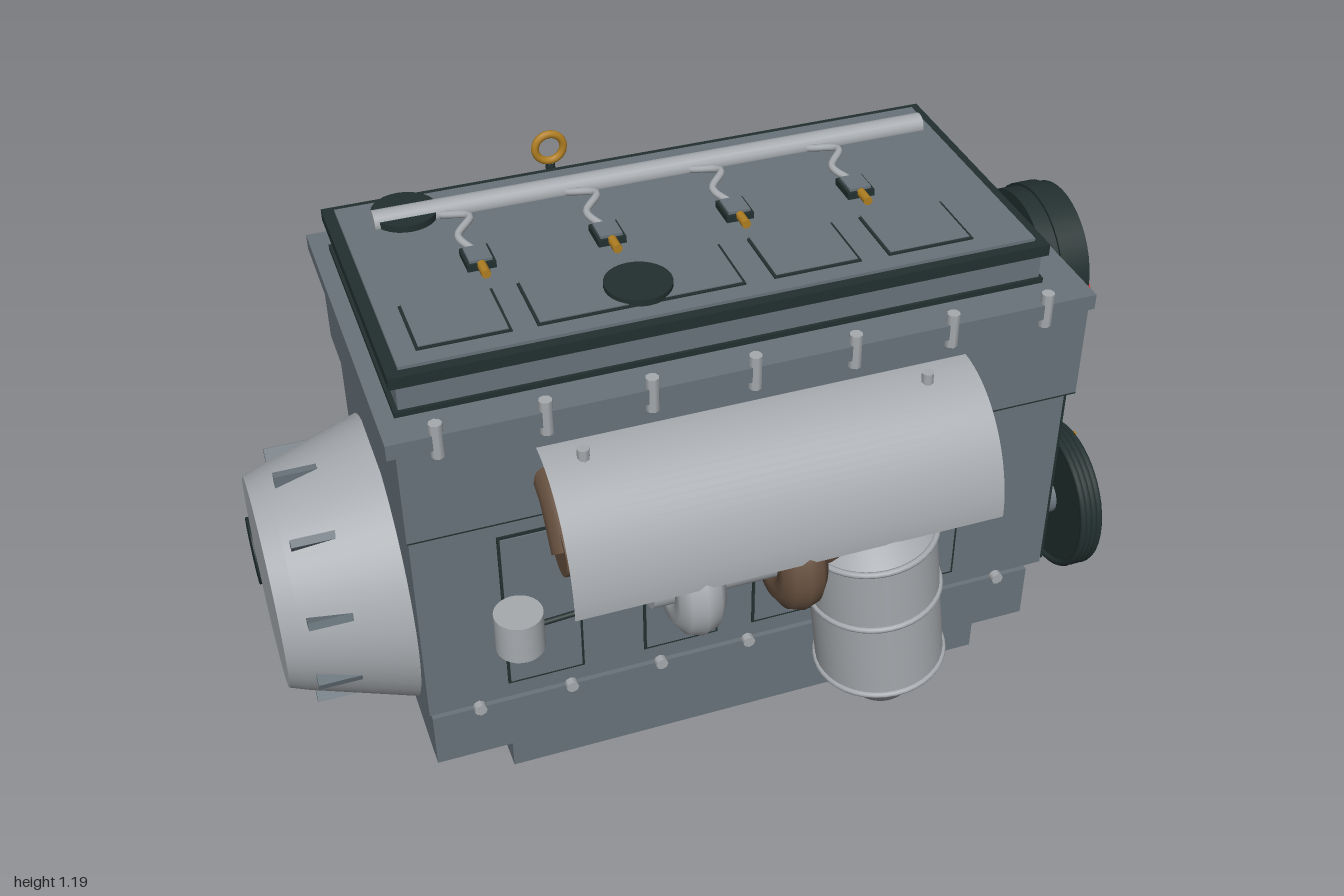
import * as THREE from 'three';

const mat = (name, color, side = THREE.FrontSide) => {
  const m = new THREE.MeshStandardMaterial({ color, side });
  m.name = name;
  return m;
};

export function createModel() {
  const grey = mat('blockGrey', 0x68737a);
  const light = mat('lightMetal', 0xa6aaae, THREE.DoubleSide);
  const dark = mat('darkGreen', 0x22302f);
  const brown = mat('exhaustBrown', 0x66503f);
  const brass = mat('brass', 0xb07f22);
  const red = mat('red', 0xc42424);
  const root = new THREE.Group();
  root.name = 'engine';

  const add = (name, geo, m, x = 0, y = 0, z = 0) => {
    const mesh = new THREE.Mesh(geo, m);
    mesh.name = name;
    mesh.position.set(x, y, z);
    root.add(mesh);
    return mesh;
  };
  // box given by its limits on each axis
  const box = (name, m, x0, x1, y0, y1, z0, z1) =>
    add(name, new THREE.BoxGeometry(x1 - x0, y1 - y0, z1 - z0), m, (x0 + x1) / 2, (y0 + y1) / 2, (z0 + z1) / 2);
  // cylinders along x, y and z; the second radius is at the low end
  const cylX = (name, m, x0, x1, y, z, r, r0 = r, n = 40) =>
    add(name, new THREE.CylinderGeometry(r, r0, x1 - x0, n).rotateZ(-Math.PI / 2), m, (x0 + x1) / 2, y, z);
  const cylY = (name, m, x, y0, y1, z, r, r0 = r, n = 28) =>
    add(name, new THREE.CylinderGeometry(r, r0, y1 - y0, n), m, x, (y0 + y1) / 2, z);
  const cylZ = (name, m, x, y, z0, z1, r, n = 28) =>
    add(name, new THREE.CylinderGeometry(r, r, z1 - z0, n).rotateX(Math.PI / 2), m, x, y, (z0 + z1) / 2);
  const tube = (name, m, pts, r, seg = 32) =>
    add(name, new THREE.TubeGeometry(new THREE.CatmullRomCurve3(pts.map(p => new THREE.Vector3(...p))), seg, r, 16), m);
  const ringX = (name, m, x, y, z, r, t) =>
    add(name, new THREE.TorusGeometry(r, t, 10, 40).rotateY(Math.PI / 2), m, x, y, z);

  // Block, crankcase and head
  box('block', grey, -0.73, 0.73, 0.29, 0.8, -0.36, 0.29);
  box('sidePanelEdge', dark, -0.72, 0.725, 0.305, 0.775, 0.28, 0.352);
  box('sidePanel', grey, -0.735, 0.715, 0.3, 0.785, 0.28, 0.358);
  box('crankcase', grey, -0.73, 0.68, 0.155, 0.29, -0.36, 0.36);
  box('head', grey, -0.74, 0.735, 0.795, 1.03, -0.39, 0.37);
  box('headSeam', dark, -0.738, 0.738, 0.787, 0.797, -0.385, 0.365);
  box('headFlange', grey, -0.76, 0.74, 1.02, 1.055, -0.405, 0.385);
  for (let i = 0; i < 7; i++) {
    const x = -0.66 + i * 0.215;
    for (const z of [-0.395, 0.375]) cylY('flangeBolt', light, x, 1.0, 1.078, z, 0.014, 0.014, 8);
    cylZ('crankcaseBolt', light, x * 0.95, 0.295, 0.34, 0.375, 0.014, 8);
  }
  // Recessed side panels of the block
  for (const x of [-0.475, -0.17, 0.08, 0.4]) {
    box('panelOutline', dark, x - 0.085, x + 0.085, 0.34, 0.75, 0.355, 0.361);
    box('panelFace', grey, x - 0.079, x + 0.079, 0.347, 0.743, 0.355, 0.364);
  }

  // Oil pan with lengthwise ribs below
  box('oilPan', grey, -0.55, 0.59, 0.02, 0.155, -0.305, 0.3);
  box('oilPanLip', grey, -0.56, 0.6, 0.13, 0.155, -0.315, 0.31);
  box('oilPanFloor', grey, -0.53, 0.57, 0.012, 0.025, -0.29, 0.285);
  for (let i = 0; i < 9; i++) box('panRib', grey, -0.52, 0.56, 0, 0.014, -0.26 + i * 0.0625, -0.245 + i * 0.0625);
  box('drainHousing', grey, -0.4, -0.3, 0.02, 0.08, -0.35, -0.3);
  box('drainCap', dark, -0.385, -0.315, 0.03, 0.07, -0.358, -0.35);

  // Bell housing
  cylX('bellHousing', light, -0.96, -0.735, 0.46, 0, 0.32, 0.25, 48);
  cylX('bellRim', light, -1, -0.96, 0.46, 0, 0.25, 0.235, 48);
  for (let i = 0; i < 10; i++) {
    const a = (i / 10) * Math.PI * 2;
    const rib = add('bellRib', new THREE.BoxGeometry(0.11, 0.03, 0.018), grey, -0.89, 0.46 + 0.268 * Math.cos(a), 0.268 * Math.sin(a));
    rib.rotation.x = a;
  }

  // Starter motor and solenoid
  cylX('starterMotor', dark, -1, -0.74, 0.25, -0.36, 0.082);
  cylX('solenoid', light, -0.955, -0.72, 0.36, -0.355, 0.054);

  // Valve cover
  box('valveCover', grey, -0.715, 0.645, 1.05, 1.145, -0.315, 0.305);
  box('coverRim', dark, -0.73, 0.655, 1.13, 1.156, -0.33, 0.318);
  box('coverTop', grey, -0.705, 0.632, 1.13, 1.163, -0.307, 0.295);
  box('coverBase', dark, -0.725, 0.652, 1.06, 1.072, -0.322, 0.312);
  for (const [a, b] of [[-0.66, -0.47], [-0.42, 0.01], [0.07, 0.26], [0.32, 0.51]]) {
    box('topPanelEdge', dark, a, b, 1.16, 1.166, 0.1, 0.255);
    box('topPanel', grey, a + 0.006, b - 0.006, 1.16, 1.168, 0.094, 0.248);
  }
  cylY('oilCap', dark, -0.195, 1.155, 1.178, 0.19, 0.07);
  cylY('breatherCap', dark, -0.57, 1.155, 1.178, -0.235, 0.07);
  cylX('fuelRail', light, -0.64, 0.61, 1.168, -0.222, 0.025, 0.025, 16);
  for (const x of [-0.47, -0.195, 0.085, 0.36]) {
    tube('injectorWire', light, [[x - 0.03, 1.17, -0.2], [x + 0.02, 1.185, -0.15], [x - 0.02, 1.18, -0.09], [x, 1.175, -0.03]], 0.008, 20);
    box('connectorBase', dark, x - 0.03, x + 0.03, 1.16, 1.178, -0.045, 0.025);
    box('connector', grey, x - 0.024, x + 0.024, 1.16, 1.184, -0.038, 0.018);
    cylZ('injectorTip', brass, x, 1.174, 0.02, 0.06, 0.01, 10);
  }

  // Timing cover on the drive end
  box('timingCase', dark, 0.73, 0.8, 0.14, 0.95, -0.1, 0.19);
  box('timingFace', grey, 0.75, 0.812, 0.15, 0.94, -0.065, 0.18);
  cylX('camCover', dark, 0.73, 0.84, 0.935, 0.04, 0.162);
  cylX('camCoverRim', dark, 0.77, 0.815, 0.935, 0.04, 0.168);
  box('camCoverBar', grey, 0.838, 0.846, 0.925, 0.946, -0.07, 0.152);
  box('pumpPlate', grey, 0.73, 0.765, 0.35, 0.95, -0.26, -0.1);
  box('pumpPlateFace', light, 0.76, 0.768, 0.36, 0.7, -0.17, -0.16);

  // Grooved pulleys
  const pulley = (name, y, z, r) => {
    cylX(name, dark, 0.875, 0.915, y, z, r * 0.94, r * 0.94, 48);
    for (let i = 0; i < 4; i++) ringX(name + 'Rib', dark, 0.875 + i * 0.0137, y, z, r * 0.955, r * 0.045);
    cylX(name + 'Shaft', grey, 0.7, 0.88, y, z, 0.045);
  };
  pulley('crankPulley', 0.265, 0.108, 0.183);
  ringX('crankPulleyRing', dark, 0.915, 0.265, 0.108, 0.11, 0.012);
  cylX('crankHub', light, 0.91, 0.965, 0.265, 0.108, 0.046, 0.046, 12);
  box('timingMark', brass, 0.915, 0.928, 0.42, 0.444, 0.104, 0.113);
  for (let i = 0; i < 4; i++) {
    const a = Math.PI / 4 + i * Math.PI / 2;
    cylX('crankBolt', light, 0.91, 0.93, 0.265 + 0.068 * Math.cos(a), 0.108 + 0.068 * Math.sin(a), 0.014, 0.014, 10);
  }
  pulley('compressorPulley', 0.3, -0.372, 0.145);
  for (let i = 0; i < 3; i++) {
    const a = (i * 2 + 1) * Math.PI / 3 + Math.PI;
    const s = add('pulleySpoke', new THREE.BoxGeometry(0.012, 0.095, 0.024), light, 0.92, 0.3 + 0.06 * Math.cos(a), -0.372 + 0.06 * Math.sin(a));
    s.rotation.x = a;
  }
  cylX('pulleyNut', light, 0.91, 0.94, 0.3, -0.372, 0.028, 0.028, 6);

  // Ribbed compressor
  cylX('compressor', light, 0.4, 0.79, 0.32, -0.385, 0.1);
  for (let i = 0; i < 6; i++) cylX('compressorFin', light, 0.42 + i * 0.06, 0.45 + i * 0.06, 0.32, -0.385, 0.122);
  tube('compressorPipe', light, [[0.45, 0.4, -0.42], [0.4, 0.5, -0.5], [0.33, 0.55, -0.5], [0.25, 0.53, -0.37]], 0.016);

  // Alternator, with red windings around the body
  cylX('alternator', light, 0.65, 0.84, 0.81, -0.28, 0.125);
  cylX('alternatorFlange', light, 0.77, 0.82, 0.81, -0.28, 0.142);
  for (let i = 0; i < 12; i++) {
    const a = (i / 12) * Math.PI * 2;
    const w = add('winding', new THREE.BoxGeometry(0.06, 0.012, 0.02), red, 0.71, 0.81 + 0.123 * Math.cos(a), -0.28 + 0.123 * Math.sin(a));
    w.rotation.x = a;
    cylX('alternatorBolt', grey, 0.81, 0.83, 0.81 + 0.13 * Math.cos(a), -0.28 + 0.13 * Math.sin(a), 0.008, 0.008, 8);
  }
  cylX('alternatorPulley', light, 0.84, 0.91, 0.81, -0.28, 0.068);
  cylX('alternatorCap', dark, 0.9, 0.935, 0.81, -0.28, 0.05);

  // Water pump and red drain tap
  cylX('waterPump', light, 0.7, 0.87, 0.72, -0.325, 0.082);
  cylX('waterPumpCap', dark, 0.86, 0.91, 0.72, -0.325, 0.04);
  cylX('tapBody', grey, 0.74, 0.9, 0.72, -0.135, 0.068);
  cylX('tapFace', light, 0.89, 0.93, 0.72, -0.135, 0.042);
  const arm = box('pumpArm', grey, 0.84, 0.885, 0.68, 0.725, -0.3, -0.14);
  arm.rotation.x = -0.12;
  cylX('tapStem', red, 0.92, 0.985, 0.745, -0.047, 0.012, 0.012, 12);
  cylX('tapKnob', red, 0.985, 1, 0.745, -0.047, 0.022, 0.022, 16);
  cylZ('tapHandle', red, 0.955, 0.745, -0.09, 0, 0.009, 10);
  box('sensor', grey, 0.73, 0.79, 0.9, 0.94, -0.18, -0.14);
  box('pumpFoot', light, 0.73, 0.82, 0.64, 0.68, -0.235, -0.19);

  // Intake manifold, runners and charge pipe
  cylX('intakeManifold', dark, -0.66, 0.54, 0.77, -0.535, 0.104);
  for (const x of [-0.475, -0.21, 0.07, 0.34]) ringX('manifoldBand', dark, x, 0.77, -0.535, 0.104, 0.008);
  for (const x of [-0.47, -0.18, 0.09, 0.36])
    tube('intakeRunner', dark, [[x, 0.895, -0.36], [x, 0.9, -0.41], [x, 0.87, -0.47], [x, 0.78, -0.54]], 0.052);
  cylX('intakeCollar', light, 0.535, 0.65, 0.77, -0.535, 0.085);
  const pipe = [[0.6, 0.775, -0.535], [0.69, 0.765, -0.54], [0.72, 0.68, -0.56], [0.7, 0.48, -0.595], [0.65, 0.32, -0.59], [0.6, 0.17, -0.585]];
  tube('chargePipe', dark, pipe, 0.05, 48);
  cylY('pipeEnd', dark, 0.6, 0.165, 0.175, -0.585, 0.049);
  const clamp = ringX('pipeClamp', light, 0.7, 0.475, -0.595, 0.05, 0.007);
  clamp.rotation.z = Math.PI / 2 - 0.15;

  // Dipstick
  tube('dipstick', dark, [[-0.19, 0.3, -0.4], [-0.19, 0.7, -0.42], [-0.19, 0.95, -0.45], [-0.19, 1.095, -0.461]], 0.011);
  add('dipstickRing', new THREE.TorusGeometry(0.033, 0.009, 10, 28), brass, -0.19, 1.132, -0.463);

  // Rear wall: core plugs, ribs and oil filter
  for (const x of [-0.36, -0.11, 0.15, 0.41]) {
    cylZ('corePlug', brass, x, 0.53, -0.385, -0.355, 0.04);
    box('wallRib', grey, x + 0.08, x + 0.16, 0.3, 0.78, -0.385, -0.355);
    box('wallPad', dark, x - 0.07, x + 0.07, 0.34, 0.36, -0.37, -0.355);
  }
  box('filterHousing', grey, -0.64, -0.4, 0.29, 0.52, -0.43, -0.35);
  const filter = cylY('oilFilter', dark, -0.49, 0.33, 0.58, -0.47, 0.07);
  filter.rotation.x = 0.12;
  cylY('filterHead', light, -0.49, 0.56, 0.6, -0.46, 0.035);

  // Curved heat shield over the exhaust manifold
  const shield = new THREE.CylinderGeometry(1, 1, 0.92, 24, 1, true, 0, Math.PI / 2).rotateZ(Math.PI / 2).scale(1, 0.26, 0.225);
  add('heatShield', shield, light, -0.01, 0.71, 0.378);
  for (const x of [-0.39, 0.34]) cylY('shieldBolt', light, x, 0.955, 0.985, 0.428, 0.013, 0.013, 8);
  cylX('exhaustLog', brown, -0.46, 0.42, 0.78, 0.47, 0.055);
  for (const x of [-0.43, -0.15, 0.13, 0.4])
    tube('exhaustRunner', brown, [[x, 0.88, 0.36], [x, 0.86, 0.41], [x, 0.78, 0.48]], 0.048);

  // Turbocharger
  const volute = (name, m, x) => {
    ringX(name, m, x, 0.655, 0.5, 0.07, 0.052);
    cylX(name + 'Core', m, x - 0.035, x + 0.035, 0.655, 0.5, 0.07);
  };
  volute('compressorVolute', light, -0.2);
  volute('turbineVolute', brown, 0.02);
  cylX('turboBearing', light, -0.2, 0.02, 0.66, 0.5, 0.045);
  cylX('turbineNeck', brown, 0, 0.1, 0.7, 0.5, 0.075);
  cylX('compressorInlet', light, -0.29, -0.2, 0.655, 0.5, 0.045);
  tube('turbineRiser', brown, [[0.02, 0.65, 0.44], [0.02, 0.72, 0.46], [0.02, 0.79, 0.47]], 0.06);
  cylY('wastegate', light, -0.56, 0.59, 0.68, 0.51, 0.05);
  tube('wastegateRod', dark, [[-0.53, 0.635, 0.51], [-0.35, 0.65, 0.51], [-0.1, 0.67, 0.5]], 0.006);

  // Catalytic converter: tilted body with cones at both ends
  const V = (r, y) => new THREE.Vector2(r, y);
  const lathe = (...rows) => new THREE.LatheGeometry(rows.map(p => V(...p)), 40);
  const cat = new THREE.Group();
  cat.name = 'catalyticConverter';
  cat.position.set(0.22, 0.49, 0.5);
  cat.rotation.z = 0.12;
  const catParts = [
    ['catBody', lathe([0.14, -0.18], [0.14, 0.18])],
    ['catLowerCone', lathe([0, -0.285], [0.065, -0.285], [0.14, -0.18])],
    ['catUpperCone', lathe([0.14, 0.18], [0.08, 0.25], [0, 0.25])],
  ];
  for (const y of [-0.18, 0.02, 0.18]) catParts.push(['catBand', new THREE.TorusGeometry(0.14, 0.007, 8, 40).rotateX(Math.PI / 2).translate(0, y, 0)]);
  for (const [name, geo] of catParts) {
    const m = new THREE.Mesh(geo, light);
    m.name = name;
    cat.add(m);
  }
  root.add(cat);
  tube('downPipe', brown, [[0.07, 0.7, 0.5], [0.13, 0.71, 0.5], [0.18, 0.68, 0.5]], 0.075);
  return root;
}
